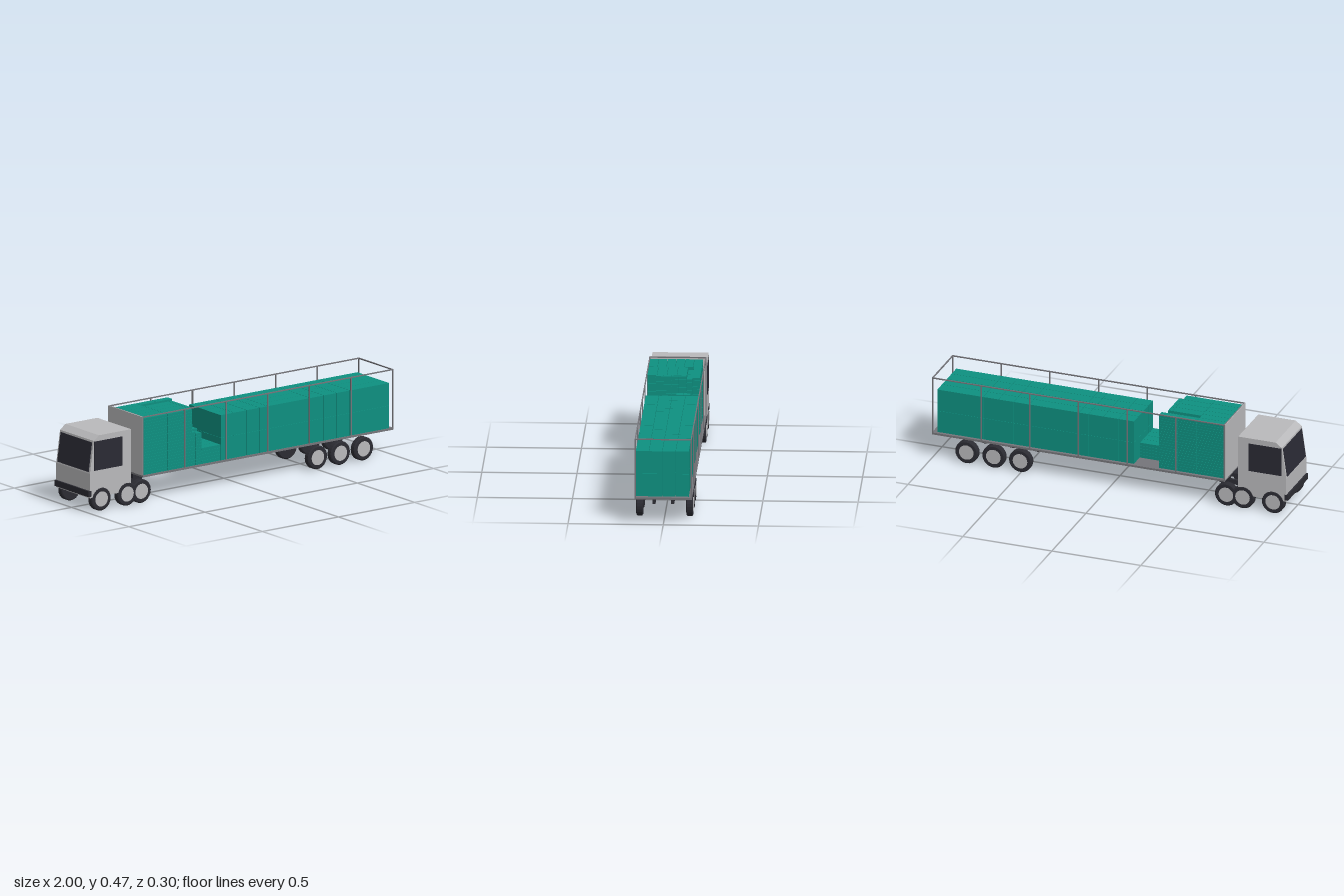
import * as THREE from 'three';
import { mergeGeometries } from 'three/addons/utils/BufferGeometryUtils.js';

const mat = (name, color) => Object.assign(new THREE.MeshStandardMaterial({ color }), { name });

export function createModel() {
  const root = new THREE.Group();
  root.name = 'loadedTruck';
  const paint = mat('light grey paint', 0xb9b9bb);
  const steel = mat('mid grey steel', 0x75757a);
  const dark = mat('dark rubber and chassis', 0x2c2c33);
  const glass = mat('dark glass', 0x2a2a34);
  const teal = mat('teal cargo', 0x0e9080);

  const add = (parent, name, geometry, material) => {
    const mesh = new THREE.Mesh(geometry, material);
    mesh.name = name;
    parent.add(mesh);
    return mesh;
  };
  // Box from its limits on each axis
  const boxGeo = (x0, x1, y0, y1, z0, z1) =>
    new THREE.BoxGeometry(x1 - x0, y1 - y0, z1 - z0)
      .translate((x0 + x1) / 2, (y0 + y1) / 2, (z0 + z1) / 2);
  const group = (name) => {
    const g = new THREE.Group();
    g.name = name;
    root.add(g);
    return g;
  };

  // Cab: side profile extruded across the width
  const cab = group('cab');
  const profile = new THREE.Shape([
    [-0.99, 0.078], [-0.72, 0.078], [-0.72, 0.411], [-0.93, 0.411], [-0.965, 0.385], [-0.99, 0.21],
  ].map(([x, y]) => new THREE.Vector2(x, y)));
  add(cab, 'cabBody', new THREE.ExtrudeGeometry(profile, { depth: 0.294, bevelEnabled: false })
    .translate(0, 0, -0.147), paint);
  add(cab, 'bumper', boxGeo(-1, -0.98, 0.086, 0.118, -0.148, 0.148), dark);
  const tilt = Math.atan2(0.025, 0.175);
  const windshield = add(cab, 'windshield', new THREE.BoxGeometry(0.005, 0.158, 0.27), glass);
  windshield.position.set(-0.979, 0.297, 0);
  windshield.rotation.z = -tilt;
  for (const s of [-1, 1]) {
    add(cab, 'sideWindow', boxGeo(-0.963, -0.778, 0.223, 0.381, s * 0.1475 - 0.0015, s * 0.1475 + 0.0015), glass);
  }

  // Chassis rails and coupling
  const chassis = group('chassis');
  for (const s of [-1, 1]) {
    const z = s * 0.049;
    add(chassis, 'truckRail', boxGeo(-0.97, -0.58, 0.085, 0.111, z - 0.008, z + 0.008), dark);
    add(chassis, 'trailerBeam', boxGeo(-0.64, 0.99, 0.111, 0.138, z - 0.008, z + 0.008), dark);
  }
  add(chassis, 'coupling', boxGeo(-0.68, -0.57, 0.118, 0.138, -0.034, 0.034), dark);

  // Wheels: chamfered tyre with a plain hub on the outer face
  const wheels = group('wheels');
  const tyre = new THREE.LatheGeometry([
    [0, -0.0175], [0.058, -0.0175], [0.0635, -0.013], [0.0635, 0.013], [0.058, 0.0175], [0, 0.0175],
  ].map(([r, y]) => new THREE.Vector2(r, y)), 24).toNonIndexed();
  tyre.computeVertexNormals();
  tyre.rotateX(Math.PI / 2);
  const hub = new THREE.CylinderGeometry(0.041, 0.041, 0.004, 24).rotateX(Math.PI / 2);
  for (const x of [-0.915, -0.745, -0.652, 0.505, 0.655, 0.807]) {
    for (const s of [-1, 1]) {
      add(wheels, 'tyre', tyre, dark).position.set(x, 0.0635, s * 0.1315);
      add(wheels, 'hub', hub, paint).position.set(x, 0.0635, s * 0.148);
    }
  }

  // Trailer deck, bulkhead and open frame
  const trailer = group('trailer');
  add(trailer, 'deck', boxGeo(-0.645, 1, 0.137, 0.148, -0.15, 0.15), steel);
  add(trailer, 'bulkhead', boxGeo(-0.648, -0.643, 0.148, 0.466, -0.148, 0.148), paint);
  for (const s of [-1, 1]) {
    const z0 = s * 0.147 - 0.003, z1 = z0 + 0.006;
    add(trailer, 'topRail', boxGeo(-0.645, 1, 0.46, 0.466, z0, z1), steel);
    for (let i = 0; i <= 6; i++) {
      const x = -0.642 + i * 0.2732;
      add(trailer, 'post', boxGeo(x - 0.003, x + 0.003, 0.148, 0.46, z0, z1), steel);
    }
  }
  for (const x of [-0.642, 0.997]) {
    add(trailer, 'crossRail', boxGeo(x - 0.003, x + 0.003, 0.46, 0.466, -0.144, 0.144), steel);
  }

  // Cargo: boxes between cut positions, separated by narrow gaps
  const cargo = group('cargo');
  const stack = (name, xs, ys, zs, gap = 0.001) => {
    const parts = [];
    for (let i = 1; i < xs.length; i++) for (let j = 1; j < ys.length; j++) for (let k = 1; k < zs.length; k++) {
      parts.push(boxGeo(xs[i - 1] + gap, xs[i] - gap, ys[j - 1], ys[j] - gap, zs[k - 1] + gap, zs[k] - gap));
    }
    add(cargo, name, mergeGeometries(parts), teal);
  };
  const even = (a, b, n) => Array.from({ length: n + 1 }, (_, i) => a + ((b - a) * i) / n);

  // Large crates at the back
  stack('largeCrates', [-0.13, -0.043, 0.042, 0.127, 0.179, 0.46, 0.547, 0.632, 0.718, 0.977],
    [0.148, 0.271, 0.394], [-0.134, -0.064, 0.006, 0.076, 0.146]);

  // Small cartons at the front, in layers up to the given height
  const layers = (top) => even(0.148, top, Math.round((top - 0.148) / 0.0153));
  stack('frontCartons', [-0.64, -0.48], layers(0.455), even(-0.134, 0.146, 6));
  stack('middleCartons', [-0.48, -0.318], layers(0.455), even(-0.062, 0.146, 4));
  stack('sunkenCartons', [-0.48, -0.385, -0.29], layers(0.44), [-0.092, -0.062]);
  stack('farCartons', [-0.48, -0.375, -0.268], layers(0.455), [-0.134, -0.092]);
  stack('edgeCartons', [-0.318, -0.293], layers(0.455), even(-0.062, 0.1, 4));
  stack('nearEdgeCartons', [-0.318, -0.293], layers(0.33), [0.1, 0.146]);

  // Stepped column and low layer in the gap
  [0.365, 0.365, 0.35, 0.35, 0.335, 0.32].forEach((top, i) => {
    const z = -0.085 + i * 0.0385;
    stack('steppedCartons', [-0.293, -0.256], layers(top), [z, z + 0.0385]);
  });
  stack('lowCartons', [-0.256, -0.13], even(0.148, 0.235, 5), even(-0.05, 0.146, 4));
  return root;
}
